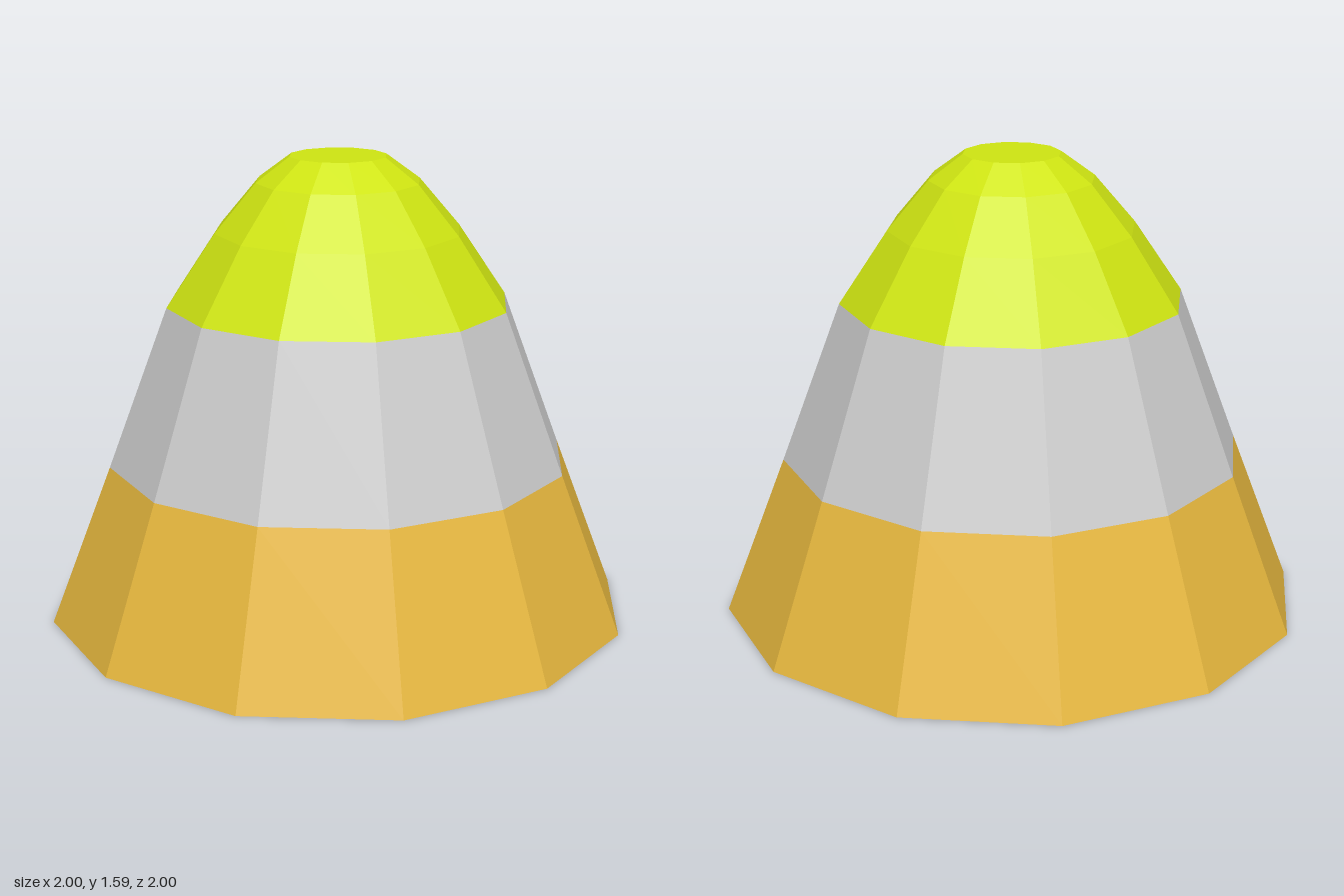
import * as THREE from 'three';

const SIDES = 12;

export function createModel() {
  const model = new THREE.Group();
  model.name = 'candyCorn';

  const paint = (color) => new THREE.MeshStandardMaterial({ color, flatShading: true });

  // Faceted band turned from [radius, height] points listed bottom to top
  function addBand(name, profile, material) {
    const points = profile.map(([r, y]) => new THREE.Vector2(r, y));
    const mesh = new THREE.Mesh(new THREE.LatheGeometry(points, SIDES), material);
    mesh.name = name;
    model.add(mesh);
  }

  // Wide bottom band, closed underneath
  addBand('bottomBand', [[0, 0], [1, 0], [0.79, 0.545]], paint(0xe6b73e));

  // Middle band carries on the same slope
  addBand('middleBand', [[0.79, 0.545], [0.585, 1.09]], paint(0xcccccc));

  // Rounded tip with a small flat top
  addBand('tip', [[0.585, 1.09], [0.42, 1.335], [0.28, 1.5], [0.165, 1.585], [0, 1.585]], paint(0xcfe512));

  return model;
}
